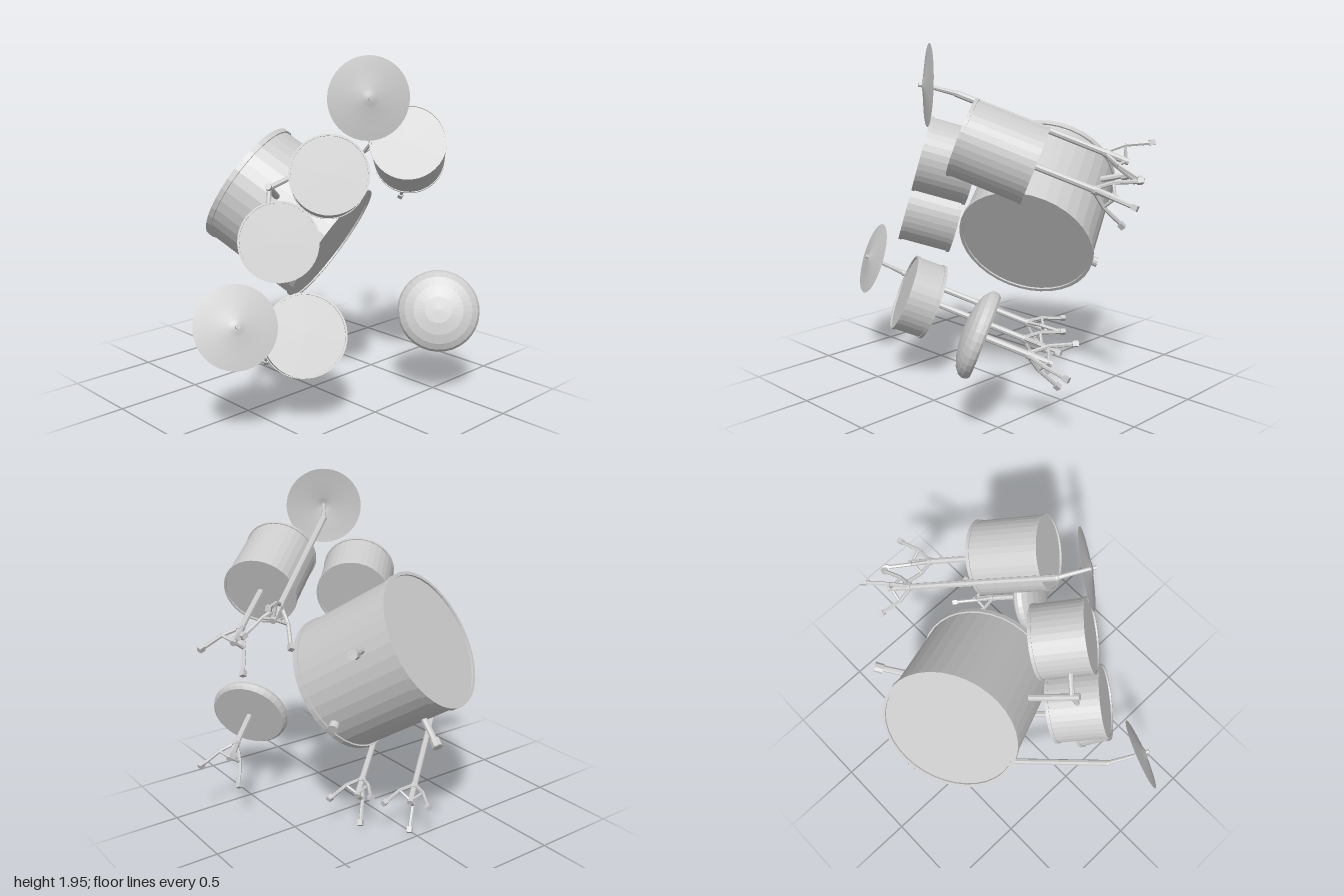
import * as THREE from 'three';

const material = new THREE.MeshStandardMaterial({ color: 0xcccccc, flatShading: true });
const thinMaterial = new THREE.MeshStandardMaterial({ color: 0xcccccc, side: THREE.DoubleSide });
const V = (x, y, z) => new THREE.Vector3(x, y, z);
const UP = V(0, 1, 0);

function mesh(name, geometry, parent, mat = material) {
  const m = new THREE.Mesh(geometry, mat);
  m.name = name;
  parent.add(m);
  return m;
}

// Straight tube between two points
function rod(name, a, b, r, parent, r2 = r, sides = 8) {
  const m = mesh(name, new THREE.CylinderGeometry(r2, r, a.distanceTo(b), sides), parent);
  m.position.copy(a).lerp(b, 0.5);
  m.quaternion.setFromUnitVectors(UP, b.clone().sub(a).normalize());
  return m;
}

function lathe(points, sides) {
  return new THREE.LatheGeometry(points.map(([x, y]) => new THREE.Vector2(x, y)), sides);
}

// Shell with a raised hoop and a recessed head at both ends
function drum(name, center, axis, radius, length, hoop, parent) {
  const h = length / 2, lip = hoop * 0.6, inset = hoop * 0.28;
  const half = [[0, h - 0.01], [radius - lip, h - 0.01], [radius - lip, h], [radius, h],
    [radius, h - hoop], [radius - inset, h - hoop]];
  const bottom = half.map(([x, y]) => [x, -y]);
  const m = mesh(name, lathe([...bottom, ...half.reverse()], 36), parent);
  m.position.copy(center);
  m.quaternion.setFromUnitVectors(UP, axis.clone().normalize());
  return m;
}

// Three kinked legs with braces and block feet round a central pole
function tripod(name, x, z, degrees, top, parent) {
  const g = new THREE.Group();
  g.name = name;
  g.position.set(x, 0, z);
  parent.add(g);
  rod('pole', V(0, 0.085, 0), V(0, top, 0), 0.018, g);
  rod('collar', V(0, 0.19, 0), V(0, 0.225, 0), 0.023, g);
  for (let i = 0; i < 3; i++) {
    const leg = new THREE.Group();
    leg.name = 'leg';
    leg.rotation.y = -THREE.MathUtils.degToRad(degrees + i * 120);
    g.add(leg);
    const knee = V(0.078, 0.135, 0);
    rod('upperLeg', V(0.012, 0.21, 0), knee, 0.011, leg, 0.011, 6);
    rod('lowerLeg', knee, V(0.138, 0.012, 0), 0.011, leg, 0.011, 6);
    rod('brace', V(0, 0.1, 0), knee, 0.009, leg, 0.009, 6);
    const foot = mesh('foot', new THREE.BoxGeometry(0.032, 0.028, 0.028), leg);
    foot.position.set(0.142, 0.009, 0);
    foot.rotation.z = -1.1;
  }
  return g;
}

// Thin bowed disc with a bell, a wing nut and its angled arm
function cymbal(name, center, axis, armStart, parent) {
  const g = new THREE.Group();
  g.name = name;
  g.position.copy(center);
  g.quaternion.setFromUnitVectors(UP, axis.clone().normalize());
  parent.add(g);
  mesh('plate', lathe([[0.218, -0.022], [0.15, -0.012], [0.05, -0.002], [0.03, 0.008], [0, 0.012]], 40),
    g, thinMaterial);
  rod('nut', V(0, 0, 0), V(0, 0.03, 0), 0.011, g);
  rod(name + 'Arm', armStart, center, 0.014, parent, 0.01);
  const joint = mesh(name + 'Joint', new THREE.SphereGeometry(0.019, 8, 6), parent);
  joint.position.copy(armStart);
}

export function createModel() {
  const model = new THREE.Group();
  model.name = 'drumKit';

  // The whole kit is tilted: axes of the kit's own upright frame
  const up = V(-0.72, 0.36, 0.59).normalize();
  const side = up.clone().cross(V(0.364, -0.529, 0.767)).normalize();
  const kit = new THREE.Group();
  kit.name = 'tiltedKit';
  kit.quaternion.setFromRotationMatrix(new THREE.Matrix4().makeBasis(side, up, side.clone().cross(up)));
  kit.position.copy(up).multiplyScalar(-0.28);
  model.add(kit);

  // Bass drum with two spurs and a lift foot
  const bassX = 0.734;
  drum('bassDrum', V(bassX, 0.421, -0.716), V(0, 0, 1), 0.39, 0.64, 0.032, kit);
  for (const s of [-1, 1]) {
    const foot = V(bassX - 0.015 + s * 0.352, 0.012, -0.892);
    rod('spur', V(bassX + s * 0.25, 0.17, -0.84), foot, 0.018, kit);
    rod('spurTip', foot.clone().add(V(-s * 0.026, 0.04, 0.013)), foot, 0.028, kit);
  }
  rod('liftFoot', V(bassX, 0, -0.472), V(bassX, 0.06, -0.472), 0.028, kit, 0.028, 12);

  // Twin rack toms on a post rising from the bass drum
  const tomAxis = V(0, 0.988, 0.15);
  rod('tomPost', V(0.75, 0.78, -0.75), V(0.75, 1.09, -0.75), 0.019, kit);
  for (const s of [-1, 1]) {
    const x = 0.768 + s * 0.218;
    const head = V(x, 1.143, -0.514);
    drum(s < 0 ? 'rightRackTom' : 'leftRackTom', head.addScaledVector(tomAxis, -0.152), tomAxis,
      0.213, 0.305, 0.018, kit);
    rod('tomArm', V(0.75, 1.045, -0.75), V(0.768 + s * 0.12, 1.045, -0.68), 0.015, kit);
  }

  // Floor tom on its stand
  drum('floorTom', V(1.4, 0.736, -0.32), UP, 0.209, 0.402, 0.018, kit);
  tripod('floorTomStand', 1.4, -0.32, 50, 0.56, kit);

  // Snare, tilted a little towards the player
  drum('snareDrum', V(0.23, 0.882, -0.15), V(0.16, 0.968, 0.166), 0.225, 0.182, 0.018, kit);
  tripod('snareStand', 0.205, -0.172, 36, 0.82, kit);

  // Cymbals
  tripod('leftCymbalStand', 1.4, -0.613, 74, 1.06, kit);
  cymbal('leftCymbal', V(1.414, 1.232, -0.565), V(-0.084, 0.91, 0.407), V(1.4, 1.06, -0.613), kit);
  tripod('rightCymbalStand', 0.027, -0.425, 27, 1.04, kit);
  cymbal('rightCymbal', V(0.086, 1.268, -0.397), V(0.238, 0.91, 0.326), V(0.027, 1.04, -0.425), kit);

  // Stool with a domed seat
  const seat = mesh('stoolSeat', lathe([[0, 0], [0.215, 0], [0.228, 0.012], [0.233, 0.035],
    [0.222, 0.06], [0.19, 0.085], [0.14, 0.104], [0.075, 0.116], [0, 0.12]], 32), kit);
  seat.position.set(0.788, 0.45, 0.333);
  tripod('stoolStand', 0.785, 0.333, 53, 0.46, kit);

  return model;
}
